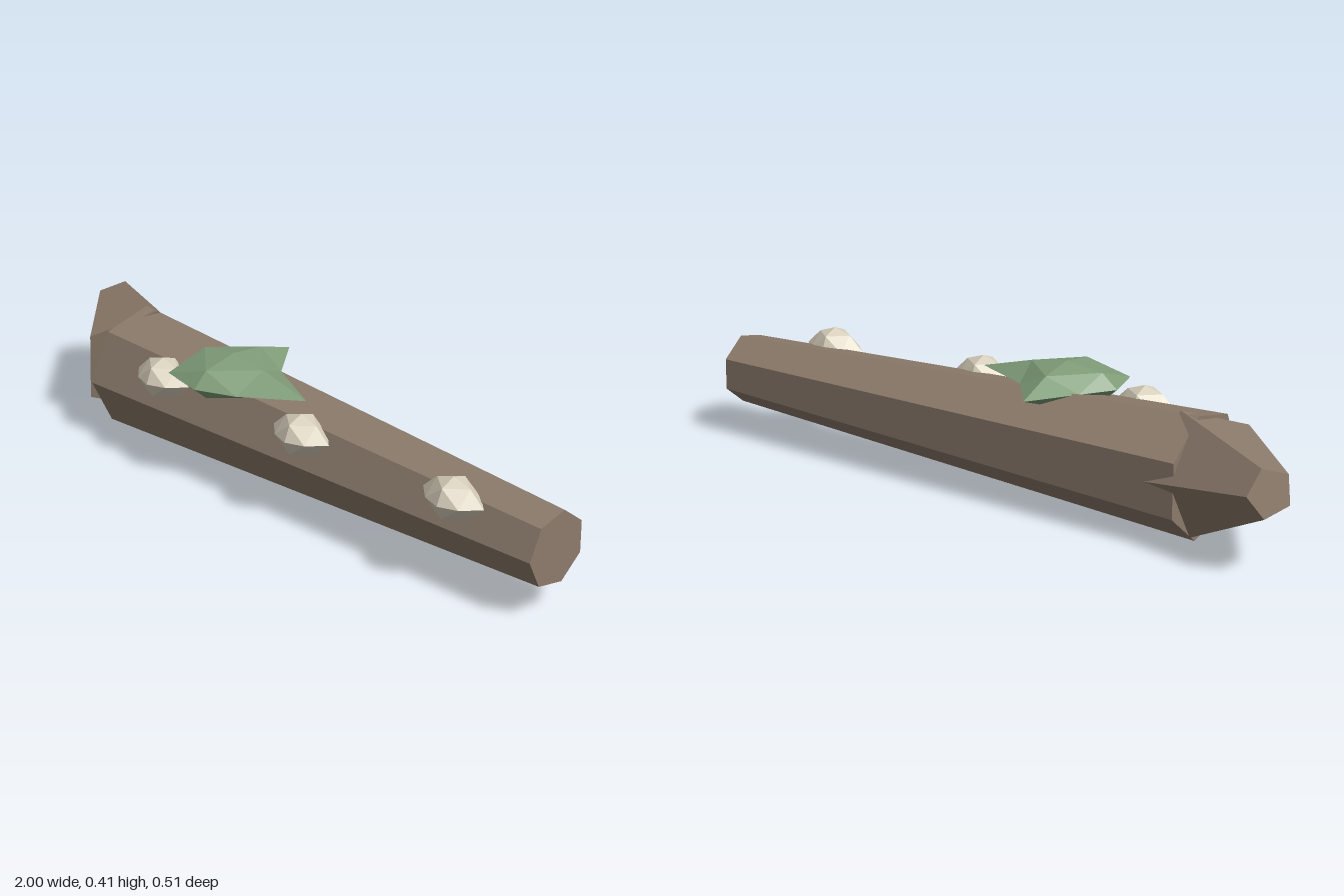
import * as THREE from 'three';

const V = (x, y, z) => new THREE.Vector3(x, y, z);
const mat = (color) => new THREE.MeshStandardMaterial({ color, flatShading: true, roughness: 1 });

// Tapered prism from a to b, with its first corner pointing towards 'corner'
function limb(name, a, b, ra, rb, sides, corner, material) {
  const y = b.clone().sub(a);
  const length = y.length();
  y.normalize();
  const z = corner.clone().addScaledVector(y, -corner.dot(y)).normalize();
  const x = y.clone().cross(z);
  const geo = new THREE.CylinderGeometry(rb, ra, length, sides);
  geo.applyMatrix4(new THREE.Matrix4().makeBasis(x, y, z));
  const mesh = new THREE.Mesh(geo, material);
  mesh.position.copy(a).add(b).multiplyScalar(0.5);
  mesh.name = name;
  return mesh;
}

// Faceted blob whose vertices are stretched sideways by a rule
function blob(name, centre, size, stretch, material) {
  const geo = new THREE.OctahedronGeometry(1, 1);
  const pos = geo.attributes.position;
  for (let i = 0; i < pos.count; i++) {
    const x = pos.getX(i), y = pos.getY(i), z = pos.getZ(i);
    const s = stretch(x, y, z);
    pos.setXYZ(i, x * size.x * s, y * size.y, z * size.z * s);
  }
  geo.computeVertexNormals();
  const mesh = new THREE.Mesh(geo, material);
  mesh.position.copy(centre);
  mesh.name = name;
  return mesh;
}

export function createModel() {
  const group = new THREE.Group();
  group.name = 'fallenLog';
  const bark = mat(0x8c7b6b), moss = mat(0x7f9c78), cream = mat(0xd8d0bc);

  // Trunk and the broken branch at its thick end
  group.add(limb('trunk', V(-0.665, 0.184, 0), V(0.995, 0.202, 0.075), 0.187, 0.11, 7, V(0, 0, 1), bark));
  group.add(limb('branchStub', V(-0.66, 0.193, 0), V(-0.96, 0.25, -0.195), 0.189, 0.072, 5, V(0.53, 0, -0.85), bark));

  // Moss patch with two long points and uneven corners
  group.add(blob('mossPatch', V(-0.166, 0.348, 0.09), V(0.167, 0.061, 0.162), (x, y, z) => {
    if (x > 0.9) return 1.7;
    if (z < -0.9) return 1.45;
    if (Math.abs(y) > 0.1) return 1;
    if (x < -0.1 && z > 0.1) return 1.15;
    if (z < -0.1 && Math.abs(x) > 0.1) return 0.83;
    return 1;
  }, moss));

  // Row of small mushrooms, pointed at both ends
  [-0.383, 0.167, 0.715].forEach((x, i) => {
    group.add(blob('mushroom' + (i + 1), V(x, 0.288, 0.165), V(0.08, 0.064, 0.069),
      (px) => (Math.abs(px) > 0.9 ? 1.3 : 1), cream));
  });
  return group;
}
